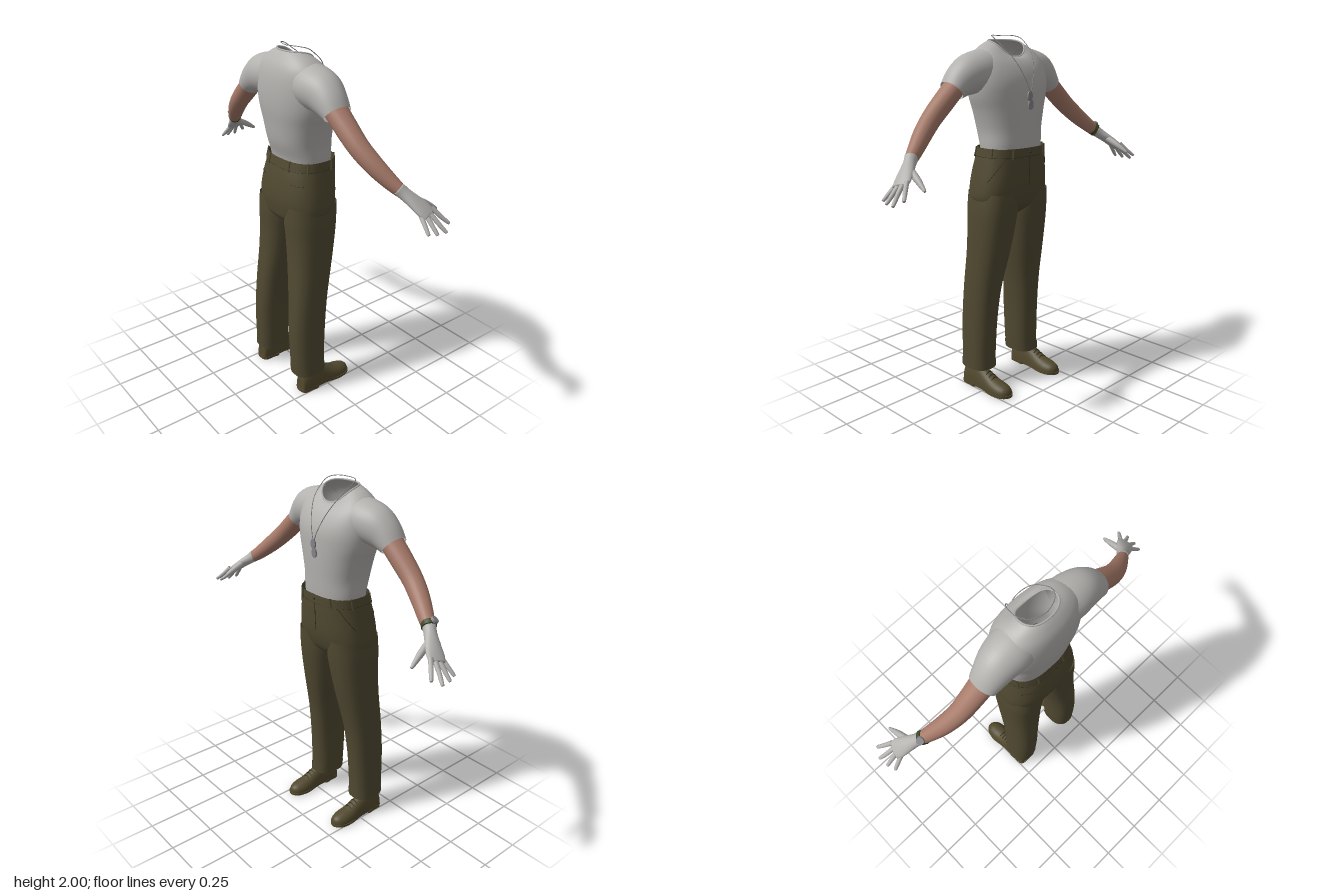
import * as THREE from 'three';

const V = (x, y, z) => new THREE.Vector3(x, y, z);
const material = (name, color) => new THREE.MeshStandardMaterial({ name, color, side: THREE.DoubleSide });
const TAU = Math.PI * 2;
const sp = (v, n) => Math.sign(v) * Math.abs(v) ** (2 / n);

// Catmull-Rom smoothing of rows of numbers
function smooth(rows, k = 4) {
  const out = [], at = i => rows[Math.max(0, Math.min(rows.length - 1, i))];
  for (let i = 0; i < rows.length - 1; i++) {
    const [a, b, c, d] = [at(i - 1), at(i), at(i + 1), at(i + 2)];
    for (let s = 0; s < k; s++) {
      const t = s / k;
      out.push(b.map((p, j) => p + 0.5 * t * (c[j] - a[j] + t * (2 * a[j] - 5 * p + 4 * c[j] - d[j]
        + t * (3 * (p - c[j]) + d[j] - a[j])))));
    }
  }
  out.push(at(rows.length - 1));
  return out;
}

// Skin over rings of points, with optional end caps
function skin(rings, capA = false, capB = false) {
  const n = rings[0].length, pts = rings.flat(), idx = [];
  for (let i = 0; i < rings.length - 1; i++) for (let j = 0; j < n; j++) {
    const a = i * n + j, b = i * n + (j + 1) % n;
    idx.push(a, a + n, b, b, a + n, b + n);
  }
  const cap = (start, flip) => {
    const mid = V(0, 0, 0);
    for (let j = 0; j < n; j++) mid.addScaledVector(pts[start + j], 1 / n);
    const m = pts.push(mid) - 1;
    for (let j = 0; j < n; j++) {
      const a = start + j, b = start + (j + 1) % n;
      flip ? idx.push(m, b, a) : idx.push(m, a, b);
    }
  };
  const last = (rings.length - 1) * n;
  if (capA) cap(0, false);
  if (capB) cap(last, true);
  const g = new THREE.BufferGeometry().setFromPoints(pts);
  g.setIndex(idx);
  g.computeVertexNormals();
  return g;
}

// Horizontal cross-section; row = [y, back x, front x, z from, z to, front drop]
function ringPoint([y, xb, xf, z0, z1, drop = 0], a, n = 2.4, off = 0) {
  const c = Math.cos(a), s = Math.sin(a);
  return V((xb + xf) / 2 + ((xf - xb) / 2 + off) * sp(c, n), y - drop * ((1 + c) / 2) ** 3,
    (z0 + z1) / 2 + ((z1 - z0) / 2 + off) * sp(s, n));
}
const around = (f, n = 40) => Array.from({ length: n }, (_, j) => f(j / n * TAU));
const body = (rows, n, capA, off = 0) =>
  skin(smooth(rows).map(r => around(a => ringPoint(r, a, n, off))), capA);

// Limb along a path; row = [x, y, z, half width, half thickness]
function limb(rows, capA = false, capB = true, seg = 24) {
  const rs = smooth(rows), p = rs.map(r => V(r[0], r[1], r[2]));
  return skin(rs.map((r, i) => {
    const t = p[Math.min(i + 1, p.length - 1)].clone().sub(p[Math.max(i - 1, 0)]).normalize();
    const u = V(1, 0, 0).addScaledVector(t, -t.x).normalize(), v = u.clone().cross(t);
    return around(a => p[i].clone().addScaledVector(u, r[3] * Math.cos(a)).addScaledVector(v, r[4] * Math.sin(a)), seg);
  }), capA, capB);
}
const tube = (pts, r, closed = false) =>
  new THREE.TubeGeometry(new THREE.CatmullRomCurve3(pts, closed), closed ? 100 : 24, r, 6, closed);

function mirrorZ(geo) {
  const g = geo.index ? geo.clone().toNonIndexed() : geo.clone();
  g.scale(1, 1, -1);
  for (const at of Object.values(g.attributes)) {
    const { array: r, itemSize: k } = at;
    for (let i = 0; i < r.length; i += 3 * k) for (let j = 0; j < k; j++)
      [r[i + k + j], r[i + 2 * k + j]] = [r[i + 2 * k + j], r[i + k + j]];
  }
  return g;
}

export function createModel() {
  const root = new THREE.Group();
  root.name = 'clothedFigure';
  const shirtMat = material('light grey cloth', 0xb4b2af), skinMat = material('skin', 0xa67a69);
  const trouserMat = material('olive cloth', 0x504931), shoeMat = material('brown olive leather', 0x52492d);
  const darkMat = material('dark stitching', 0x2c281a), metalMat = material('grey metal', 0x85858a);
  const strapMat = material('green strap', 0x3f4a26);
  const add = (name, geo, mat) => {
    const m = new THREE.Mesh(geo, mat);
    m.name = name;
    root.add(m);
  };
  const both = (name, geo, mat) => {
    add(name + 'Left', mirrorZ(geo), mat);
    add(name + 'Right', geo, mat);
  };

  // Shirt: open torso, collar rim and sleeves
  const torso = [[1.36, -.14, .12, .18, 0], [1.42, -.15, .125, .185, 0], [1.5, -.175, .128, .188, 0],
    [1.6, -.19, .131, .21, 0], [1.68, -.2, .131, .235, 0], [1.76, -.202, .128, .245, .02],
    [1.84, -.195, .115, .238, .05], [1.90, -.178, .09, .216, .06], [1.945, -.15, .06, .162, .07],
    [1.972, -.125, .035, .105, .085]].map(([y, b, f, w, d]) => [y, b, f, -w, w, d]);
  add('shirtTorso', body(torso, 2.3), shirtMat);
  add('shirtCollar', tube(around(a => ringPoint(torso[9], a, 2.3)), .005, true), shirtMat);
  both('shirtSleeve', limb([[-.06, 1.815, .15, .115, .115], [-.062, 1.81, .2, .115, .112], [-.065, 1.795, .26, .105, .106],
    [-.07, 1.762, .32, .09, .086], [-.072, 1.72, .372, .077, .061]], false, false, 32), shirtMat);

  // Bare arms
  both('arm', limb([[-.07, 1.75, .34, .066, .054], [-.066, 1.665, .435, .06, .055], [-.058, 1.59, .52, .054, .052],
    [-.033, 1.52, .6, .049, .048], [.002, 1.455, .675, .04, .04], [.03, 1.412, .73, .03, .032]], true), skinMat);

  // Gloved hands with four fingers and a thumb
  both('gloveHand', limb([[.022, 1.425, .716, .033, .035], [.04, 1.402, .742, .033, .03], [.067, 1.368, .785, .043, .024],
    [.09, 1.335, .825, .05, .018], [.103, 1.315, .85, .044, .012]], true, true), shirtMat);
  const fingers = {
    little: [[.062, 1.33, .825], [.053, 1.287, .868], [.045, 1.25, .905]],
    ring: [[.085, 1.325, .838], [.088, 1.277, .885], [.09, 1.243, .92]],
    middle: [[.11, 1.325, .84], [.128, 1.277, .888], [.145, 1.242, .924]],
    index: [[.132, 1.34, .832], [.163, 1.297, .867], [.19, 1.267, .895]],
    thumb: [[.07, 1.38, .765], [.145, 1.34, .778], [.207, 1.302, .79]]
  };
  for (const [name, [a, b, c]] of Object.entries(fingers)) {
    const tip = c.map((v, i) => v + (v - b[i]) * .08);
    const k = name === 'thumb' ? 1.5 : 1;
    both(name + 'Finger', limb([[...a, .013 * k, .012 * k], [...b, .0115 * k, .011 * k], [...c, .009, .008],
      [...tip, .004, .004]], false, true, 12), shirtMat);
  }

  // Watch on the wrist at -z
  add('watchStrap', mirrorZ(limb([[.012, 1.438, .7, .038, .04], [.024, 1.424, .717, .037, .039]], true, true)), strapMat);
  const face = new THREE.CylinderGeometry(.02, .022, .012, 24);
  face.applyQuaternion(new THREE.Quaternion().setFromUnitVectors(V(0, 1, 0), V(-.35, .75, .56).normalize()));
  face.translate(.005, 1.462, .733);
  add('watchCase', mirrorZ(face), metalMat);

  // Neck chain and pendant plates
  const half = [[-.08, 1.996, .075], [-.04, 1.985, .1], [0, 1.958, .1], [.062, 1.905, .083], [.106, 1.833, .053], [.132, 1.755, .022]];
  add('neckChain', tube([V(-.105, 1.996, 0), ...half.map(p => V(...p)), V(.138, 1.705, 0),
    ...half.map(([x, y, z]) => V(x, y, -z)).reverse()], .0022, true), metalMat);
  for (const [y, z] of [[1.684, .004], [1.638, -.003]]) {
    const tag = new THREE.CylinderGeometry(.018, .018, .008, 24).rotateZ(Math.PI / 2);
    tag.scale(1, 1.45, 1).translate(.137, y, z);
    add('pendantPlate', tag, metalMat);
  }

  // Trousers: hips, legs and turned hems
  const hips = [[1.03, -.12, .04, .09], [1.07, -.172, .088, .19], [1.12, -.186, .112, .232], [1.2, -.192, .128, .23],
    [1.3, -.178, .133, .213], [1.37, -.16, .134, .2], [1.408, -.152, .134, .196]].map(([y, b, f, w]) => [y, b, f, -w, w]);
  add('trouserHips', body(hips, 2.6, true), trouserMat);
  const leg = [[.115, -.195, 0, .1, .26], [.2, -.2, 0, .095, .257], [.4, -.205, .01, .088, .252],
    [.6, -.195, .03, .07, .248], [.8, -.18, .067, .035, .243], [.95, -.177, .092, .012, .241],
    [1.06, -.182, .106, 0, .238], [1.16, -.18, .113, .012, .226]];
  both('trouserLeg', body(leg, 2.5), trouserMat);
  both('trouserHem', body([leg[0], [.15, -.197, 0, .098, .259]], 2.5, false, .003), trouserMat);

  // Waistband, loops, fly and pocket seams follow the hip surface
  const onHips = (y, a, off = .001) => {
    let i = 0;
    while (i < hips.length - 2 && hips[i + 1][0] < y) i++;
    const t = (y - hips[i][0]) / (hips[i + 1][0] - hips[i][0]);
    return ringPoint(hips[i].map((v, j) => v + (hips[i + 1][j] - v) * t), a, 2.6, off);
  };
  add('waistband', skin([1.362, 1.385, 1.408].map(y => around(a => onHips(y, a, .003)))), trouserMat);
  add('waistSeam', tube(around(a => onHips(1.361, a, .002)), .0015, true), darkMat);
  for (const a of [.5, 1.3, 2.1, 2.8])
    both('beltLoop', tube([1.355, 1.38, 1.41].map(y => onHips(y, a, .004)), .006), trouserMat);
  add('flySeam', tube([1.4, 1.34, 1.28, 1.2].map(y => onHips(y, 0)), .002), darkMat);
  add('waistButton', new THREE.SphereGeometry(.006, 12, 8).translate(.138, 1.385, 0), darkMat);
  both('frontPocketSeam', tube([[1.36, .75], [1.3, 1.0], [1.23, 1.3]].map(([y, a]) => onHips(y, a)), .0018), darkMat);
  both('backPocketSeam', tube([2.2, 2.45, 2.7].map(a => onHips(1.29, a)), .0018), darkMat);

  // Shoes: upper, sole, heel and laces
  const upper = [[-.172, .06, .024], [-.166, .11, .04], [-.12, .145, .047], [-.06, .145, .048], [0, .112, .05],
    [.06, .083, .055], [.11, .071, .055], [.15, .06, .044], [.17, .046, .026], [.177, .03, .01]];
  both('shoeUpper', skin(smooth(upper).map(([x, top, w]) => around(a =>
    V(x, .014 + (top - .014) * Math.max(0, Math.sin(a)) ** .85, .203 + w * Math.cos(a)), 28)), true, true), shoeMat);
  const plate = (pts, y, depth) => {
    const outline = smooth([...pts, ...pts.map(([x, w]) => [x, -w]).reverse(), pts[0]]);
    const g = new THREE.ExtrudeGeometry(new THREE.Shape(outline.map(p => new THREE.Vector2(...p))), { depth, bevelEnabled: false });
    return g.rotateX(-Math.PI / 2).translate(0, y, .203);
  };
  both('shoeSole', plate([[-.177, .02], [-.16, .042], [-.07, .044], [0, .046], [.07, .059], [.12, .057], [.16, .042], [.181, .014]], .005, .013), shoeMat);
  both('shoeHeel', plate([[-.178, .02], [-.16, .044], [-.11, .047], [-.065, .044]], 0, .018), shoeMat);
  for (const [x, y] of [[.012, .109], [.034, .099], [.056, .088]])
    both('shoeLace', tube([V(x, y - .012, .178), V(x, y, .203), V(x, y - .012, .228)], .003), darkMat);
  return root;
}
